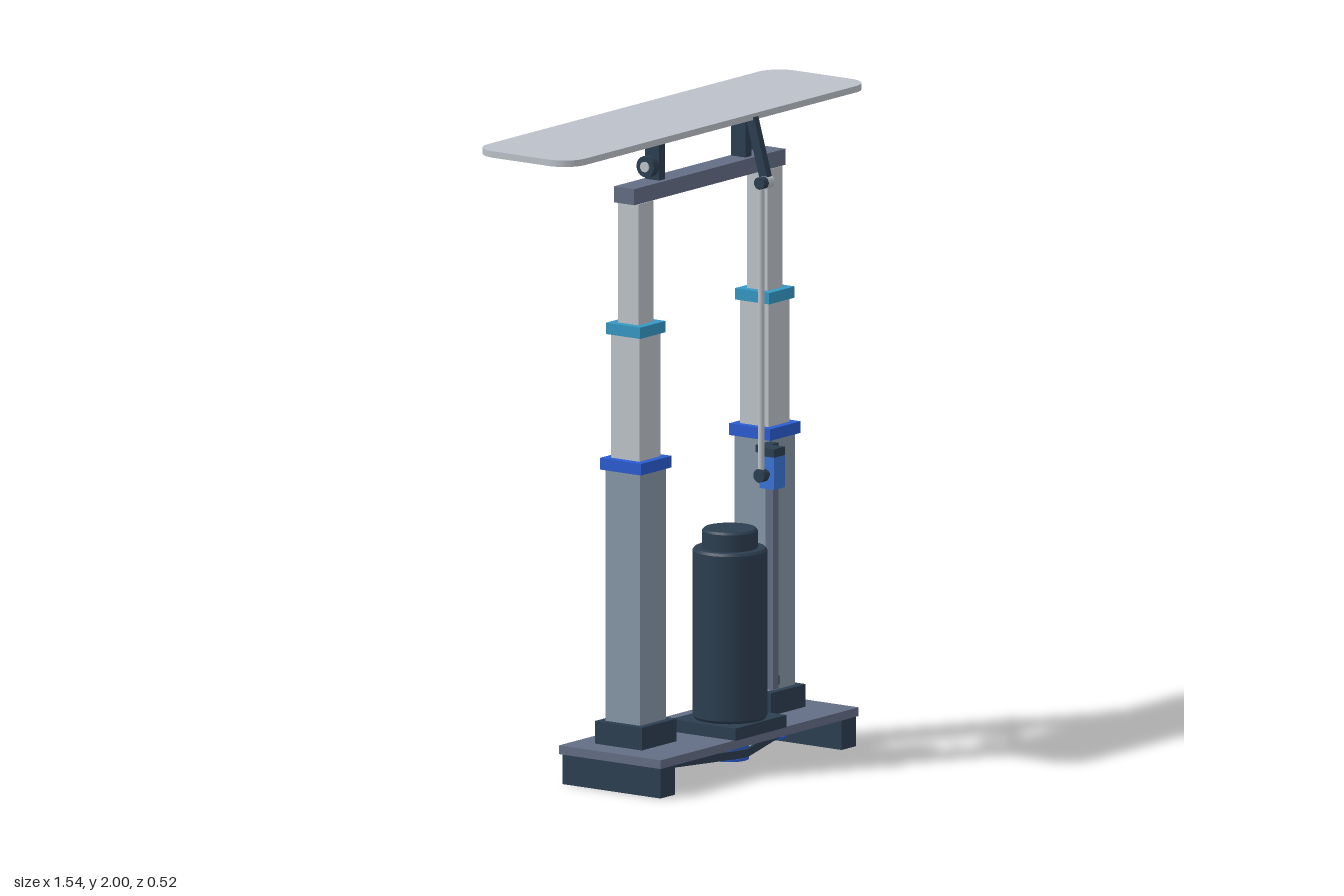
import * as THREE from 'three';

const mat = (name, color) => {
  const m = new THREE.MeshStandardMaterial({ color });
  m.name = name;
  return m;
};

export function createModel() {
  const root = new THREE.Group();
  root.name = 'liftingTable';

  const dark = mat('dark navy', 0x2c3e50);
  const slate = mat('slate', 0x636d84);
  const steel = mat('blue grey steel', 0x8696a6);
  const light = mat('light metal', 0xbdc3c9);
  const top = mat('table grey', 0xbcc1ca);
  const blue = mat('collar blue', 0x2b5cd0);
  const cyan = mat('collar cyan', 0x3498c4);
  const nutBlue = mat('nut blue', 0x3a74d6);

  const add = (name, geo, m, parent = root) => {
    const mesh = new THREE.Mesh(geo, m);
    mesh.name = name;
    parent.add(mesh);
    return mesh;
  };
  // Box given by its limits on each axis
  const box = (name, m, x0, x1, y0, y1, z0, z1, parent) => {
    const b = add(name, new THREE.BoxGeometry(x1 - x0, y1 - y0, z1 - z0), m, parent);
    b.position.set((x0 + x1) / 2, (y0 + y1) / 2, (z0 + z1) / 2);
    return b;
  };
  // Upright cylinder between two heights
  const post = (name, m, r, y0, y1, x, z, parent) => {
    const c = add(name, new THREE.CylinderGeometry(r, r, y1 - y0, 32), m, parent);
    c.position.set(x, (y0 + y1) / 2, z);
    return c;
  };
  // Cylinder lying along x
  const pin = (name, m, r, x0, x1, y, z, parent) => {
    const c = add(name, new THREE.CylinderGeometry(r, r, x1 - x0, 20), m, parent);
    c.rotation.z = Math.PI / 2;
    c.position.set((x0 + x1) / 2, y, z);
    return c;
  };

  // Tabletop: rounded plate
  const [X, Z0, Z1, R] = [0.77, -0.262, 0.108, 0.08];
  const plate = new THREE.Shape();
  plate.absarc(X - R, Z1 - R, R, 0, Math.PI / 2);
  plate.absarc(-X + R, Z1 - R, R, Math.PI / 2, Math.PI);
  plate.absarc(-X + R, Z0 + R, R, Math.PI, Math.PI * 1.5);
  plate.absarc(X - R, Z0 + R, R, Math.PI * 1.5, Math.PI * 2);
  const plateGeo = new THREE.ExtrudeGeometry(plate, { depth: 0.02, bevelEnabled: false, curveSegments: 10 });
  plateGeo.rotateX(Math.PI / 2);
  add('tabletop', plateGeo, top).position.y = 2;

  // Base
  box('basePlate', slate, -0.505, 0.505, 0.093, 0.12, -0.13, 0.255);
  for (const s of [-1, 1]) {
    const foot = box('foot', dark, -0.037, 0.037, 0, 0.093, -0.122, 0.25);
    foot.position.x = s * 0.462;
  }

  // Telescopic columns: width, bottom, top, material
  const stages = [
    ['columnFoot', 0.178, 0.12, 0.19, dark],
    ['outerTube', 0.132, 0.19, 0.97, steel],
    ['lowerCollar', 0.156, 0.97, 1.006, blue],
    ['middleTube', 0.108, 1.0, 1.39, light],
    ['upperCollar', 0.13, 1.39, 1.425, cyan],
    ['innerTube', 0.078, 1.42, 1.8, light],
  ];
  for (const s of [-1, 1]) {
    const column = new THREE.Group();
    column.name = s > 0 ? 'leftColumn' : 'rightColumn';
    column.position.set(s * 0.329, 0, 0.03);
    root.add(column);
    for (const [name, w, y0, y1, m] of stages) box(name, m, -w / 2, w / 2, y0, y1, -w / 2, w / 2, column);

    // Tilt hinge with its knob
    const hinge = new THREE.Group();
    hinge.name = 'tiltHinge';
    hinge.position.set(s * 0.22, 0, 0.022);
    root.add(hinge);
    box('hingePlate', dark, -0.015, 0.015, 1.85, 1.98, -0.027, 0.027, hinge);
    const a = s * 0.015, b = s * 0.024, c = s * 0.05;
    pin('hingeStub', dark, 0.014, Math.min(a, b), Math.max(a, b), 1.895, 0, hinge);
    pin('hingeKnob', dark, 0.033, Math.min(b, c), Math.max(b, c), 1.895, 0, hinge);
    const d = s * 0.055;
    pin('hingePinEnd', light, 0.016, Math.min(c, d), Math.max(c, d), 1.895, 0, hinge);
  }
  box('crossBeam', slate, -0.385, 0.385, 1.8, 1.85, -0.01, 0.066);

  // Motor with a stepped, slightly chamfered body
  box('motorMount', dark, -0.13, 0.13, 0.12, 0.158, 0.015, 0.26);
  const profile = [[0, 0.158], [0.108, 0.158], [0.114, 0.167], [0.114, 0.678], [0.108, 0.686],
    [0.085, 0.686], [0.085, 0.739], [0.079, 0.746], [0, 0.746]];
  // Split the profile into straight bands so its edges stay sharp
  const motor = new THREE.Group();
  motor.name = 'motor';
  motor.position.z = 0.142;
  root.add(motor);
  for (let i = 1; i < profile.length; i++) {
    const pts = [profile[i - 1], profile[i]].map(p => new THREE.Vector2(...p));
    add('motorBand', new THREE.LatheGeometry(pts, 40), dark, motor);
  }

  // Tilt drive: rail, nut and brackets beside the left column
  box('driveRail', slate, 0.19, 0.218, 0.215, 0.84, 0.136, 0.164);
  box('driveNut', nutBlue, 0.178, 0.234, 0.838, 0.938, 0.122, 0.177);
  box('driveCap', dark, 0.178, 0.234, 0.938, 0.964, 0.122, 0.177);
  box('upperBracket', dark, 0.2, 0.27, 0.942, 0.964, 0.09, 0.125);
  box('lowerBracket', slate, 0.19, 0.218, 0.215, 0.242, 0.12, 0.136);
  box('lowerBracketArm', dark, 0.19, 0.27, 0.215, 0.242, 0.09, 0.13);

  // Push rod and tilt lever
  post('pushRod', light, 0.01, 0.885, 1.785, 0.149, 0.15);
  pin('rodLowerJoint', dark, 0.021, 0.137, 0.162, 0.885, 0.15);
  pin('rodLowerPin', dark, 0.012, 0.16, 0.18, 0.885, 0.15);
  pin('rodUpperJoint', dark, 0.019, 0.138, 0.165, 1.792, 0.15);
  pin('leverPin', light, 0.02, 0.163, 0.192, 1.792, 0.15);
  const dy = 0.193, dz = -0.055;
  const lever = box('tiltLever', dark, -0.012, 0.012, -0.1, 0.1, -0.015, 0.015);
  lever.position.set(0.177, 1.792 + dy / 2, 0.15 + dz / 2);
  lever.rotation.x = Math.atan2(dz, dy);

  // Pulleys under the base: x, z, radius
  for (const [x, z, r] of [[-0.33, 0.03, 0.066], [0.33, 0.03, 0.066], [0, 0.142, 0.058],
    [-0.155, 0.055, 0.034], [0.155, 0.055, 0.034]]) {
    const pulley = new THREE.Group();
    pulley.name = 'pulley';
    pulley.position.set(x, 0, z);
    root.add(pulley);
    post('lowerFlange', blue, r, 0.03, 0.038, 0, 0, pulley);
    post('hub', blue, r * 0.82, 0.038, 0.067, 0, 0, pulley);
    post('upperFlange', blue, r, 0.067, 0.074, 0, 0, pulley);
    post('shaft', blue, 0.018, 0.074, 0.093, 0, 0, pulley);
  }

  // Belt: band around the column and motor pulleys
  const n = Math.atan2(0.33, 0.112);
  const loop = (path, r) => {
    path.absarc(0.33, 0.03, r, -Math.PI / 2, n);
    path.absarc(0, 0.142, r, n, Math.PI - n);
    path.absarc(-0.33, 0.03, r, Math.PI - n, Math.PI * 1.5);
    path.closePath();
    return path;
  };
  const belt = loop(new THREE.Shape(), 0.061);
  belt.holes.push(loop(new THREE.Path(), 0.053));
  const beltGeo = new THREE.ExtrudeGeometry(belt, { depth: 0.025, bevelEnabled: false, curveSegments: 16 });
  beltGeo.rotateX(Math.PI / 2);
  add('belt', beltGeo, dark).position.y = 0.065;

  return root;
}
